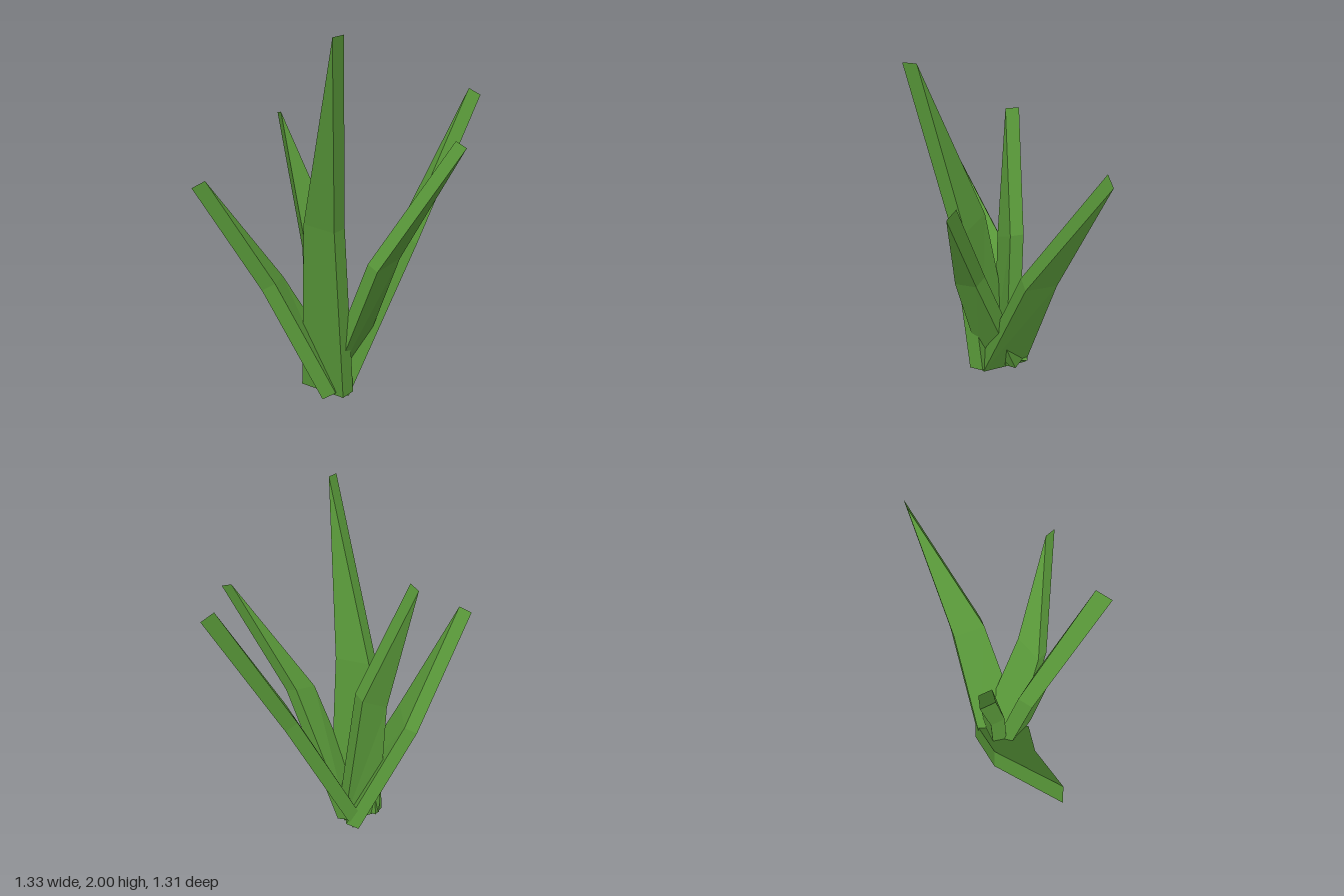
import * as THREE from 'three';

const V = (a) => new THREE.Vector3(...a);

// Each blade: inner face edges (p, q) at base and bend, inner tip point, and thickness vector.
const BLADES = [
  { name: 'tallFrontBlade', t: [-0.015, -0.01, 0.088],
    base: [[-0.27, 0.03, 0.1], [0.04, 0.03, 0.18]],
    bend: [[-0.17, 1, 0.23], [0.04, 0.98, 0.27]], tip: [0.145, 2, 0.465] },
  { name: 'leftBlade', t: [0.07, -0.03, 0.025],
    base: [[-0.13, 0.05, -0.02], [-0.15, 0.05, 0.22]],
    bend: [[0.22, 0.84, 0.085], [0.16, 0.79, 0.235]], tip: [0.59, 1.46, 0.085] },
  { name: 'rightFrontBlade', t: [-0.07, -0.04, 0.025],
    base: [[-0.13, 0.04, -0.05], [-0.02, 0.04, 0.27]],
    bend: [[-0.405, 0.64, 0.185], [-0.32, 0.66, 0.4]], tip: [-0.595, 1.24, 0.63] },
  { name: 'leftBackBlade', t: [0.055, -0.04, -0.045],
    base: [[-0.22, 0.04, 0.02], [-0.04, 0.04, 0.23]],
    bend: [[0.09, 0.86, -0.26], [0.21, 0.87, -0.12]], tip: [0.38, 1.67, -0.61] },
  { name: 'rightBackBlade', t: [-0.06, -0.01, -0.06],
    base: [[-0.045, 0.03, 0.06], [-0.22, 0.03, 0.2]],
    bend: [[-0.14, 0.9, 0.065], [-0.25, 0.81, 0.185]], tip: [-0.4, 1.57, 0.185] },
];

// Rectangular section at base and bend, closing to a single edge at the tip.
function bladeGeometry({ t, base, bend, tip }) {
  const thick = V(t);
  const width = V(base[1]).sub(V(base[0]));
  const flip = width.cross(thick).y < 0;
  const rings = [base, bend, [tip, tip]].map(([p, q]) => {
    const ring = [V(p), V(q), V(q).add(thick), V(p).add(thick)];
    return flip ? ring.reverse() : ring;
  });
  const points = [];
  const tri = (a, b, c) => {
    if (a.equals(b) || b.equals(c) || a.equals(c)) return;
    points.push(a, b, c);
  };
  const quad = (a, b, c, d) => { tri(a, b, c); tri(a, c, d); };

  for (let r = 0; r < 2; r++) {
    for (let i = 0; i < 4; i++) {
      const j = (i + 1) % 4;
      quad(rings[r][i], rings[r][j], rings[r + 1][j], rings[r + 1][i]);
    }
  }
  const [a, b, c, d] = rings[0];
  quad(d, c, b, a); // underside

  const geometry = new THREE.BufferGeometry().setFromPoints(points);
  geometry.computeVertexNormals();
  return geometry;
}

export function createModel() {
  const group = new THREE.Group();
  group.name = 'grassTuft';
  const green = new THREE.MeshStandardMaterial({ color: 0x5a9a3a, flatShading: true });
  for (const blade of BLADES) {
    const mesh = new THREE.Mesh(bladeGeometry(blade), green);
    mesh.name = blade.name;
    group.add(mesh);
  }
  return group;
}
